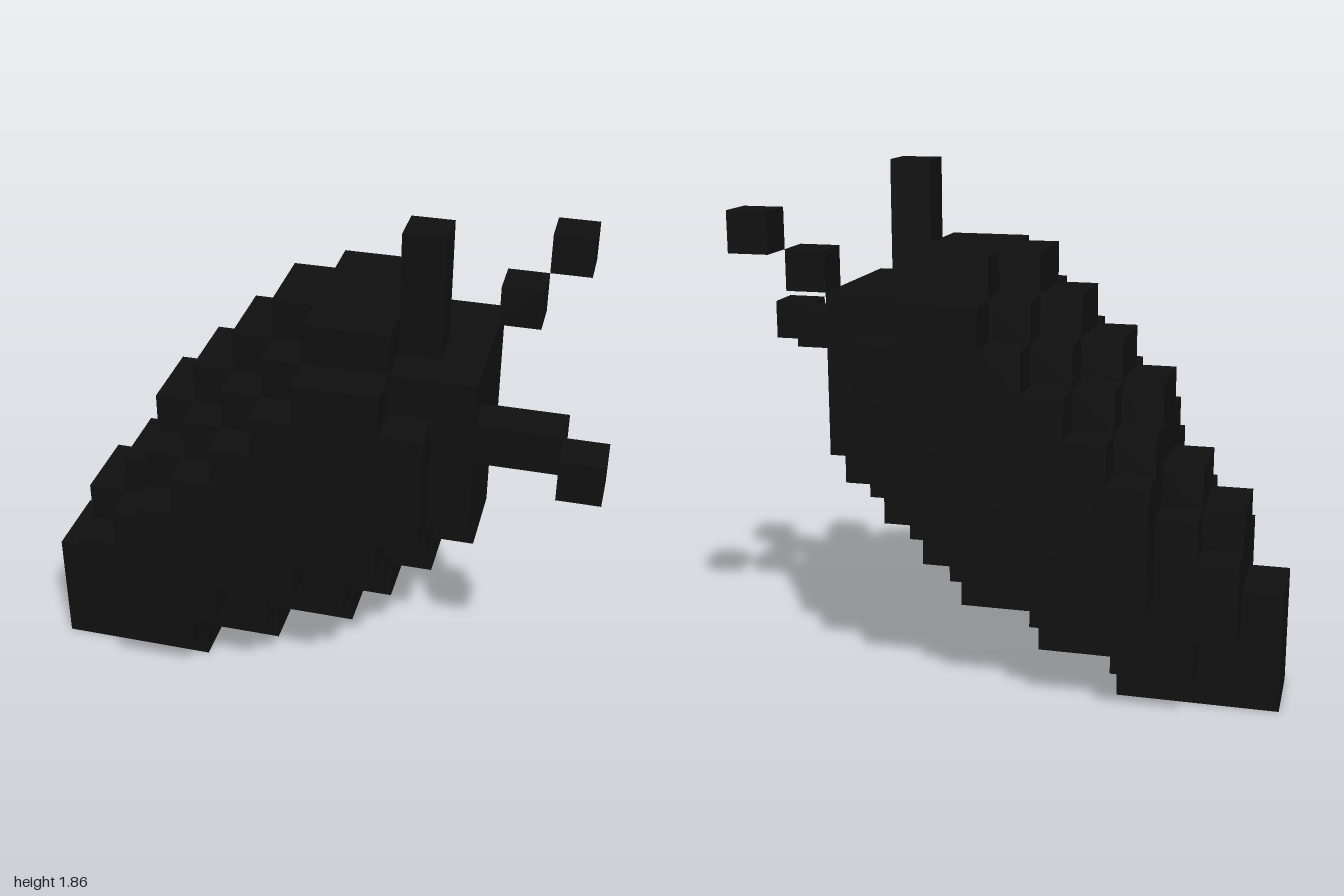
import * as THREE from 'three';

const V = 1 / 7; // edge length of one block

// Stepped slab: rows of [first column, end column] stacked upward from row y0
function slab(name, y0, rows, halfDepth, material) {
  const points = [];
  const add = (col, row) => {
    const p = new THREE.Vector2(col * V - 1, row * V);
    if (!points.length || !points[points.length - 1].equals(p)) points.push(p);
  };
  rows.forEach(([, end], i) => { add(end, y0 + i); add(end, y0 + i + 1); });
  for (let i = rows.length - 1; i >= 0; i--) { add(rows[i][0], y0 + i + 1); add(rows[i][0], y0 + i); }
  const depth = 2 * halfDepth * V;
  const geometry = new THREE.ExtrudeGeometry(new THREE.Shape(points), { depth, bevelEnabled: false });
  geometry.translate(0, 0, -depth / 2);
  const mesh = new THREE.Mesh(geometry, material);
  mesh.name = name;
  return mesh;
}

// Box given by its lowest block (column, row, layer) and its size in blocks
function block(name, [x, y, z], [w, h, d], material) {
  const mesh = new THREE.Mesh(new THREE.BoxGeometry(w * V, h * V, d * V), material);
  mesh.position.set((x + w / 2) * V - 1, (y + h / 2) * V, (z + d / 2 - 3) * V);
  mesh.name = name;
  return mesh;
}

export function createModel() {
  const black = new THREE.MeshStandardMaterial({ color: 0x101010 });
  black.name = 'black';
  const model = new THREE.Group();
  model.name = 'blockPod';

  // Leaning body: three nested stepped slabs, narrower outlines reaching further sideways
  const body = new THREE.Group();
  body.name = 'body';
  body.add(
    slab('bodyCore', 0, [[0, 4], [0, 6], [0, 8], [1, 9], [1, 10], [2, 11], [3, 11], [3, 11], [4, 11], [5, 11], [6, 9]], 1, black),
    slab('bodyMiddle', 1, [[2, 4], [1, 6], [1, 8], [2, 9], [3, 10], [3, 11], [4, 11], [5, 11], [6, 11], [7, 9]], 2, black),
    slab('bodySides', 3, [[3, 5], [3, 7], [3, 9], [4, 10], [5, 10], [6, 10], [7, 9]], 3, black),
  );

  // Upright stem on top
  model.add(body, block('topStem', [9, 10, 3], [1, 3, 1], black));

  // Front feeler: a bar with an offset tip
  const frontFeeler = new THREE.Group();
  frontFeeler.name = 'frontFeeler';
  frontFeeler.add(
    block('feelerBar', [11, 8, 4], [2, 1, 1], black),
    block('feelerTip', [13, 8, 5], [1, 1, 1], black),
  );

  // Rear feeler: two blocks climbing diagonally
  const rearFeeler = new THREE.Group();
  rearFeeler.name = 'rearFeeler';
  for (let i = 0; i < 2; i++) rearFeeler.add(block('feelerBlock', [11 + i, 10 + i, 1 - i], [1, 1, 1], black));

  model.add(frontFeeler, rearFeeler);
  return model;
}
